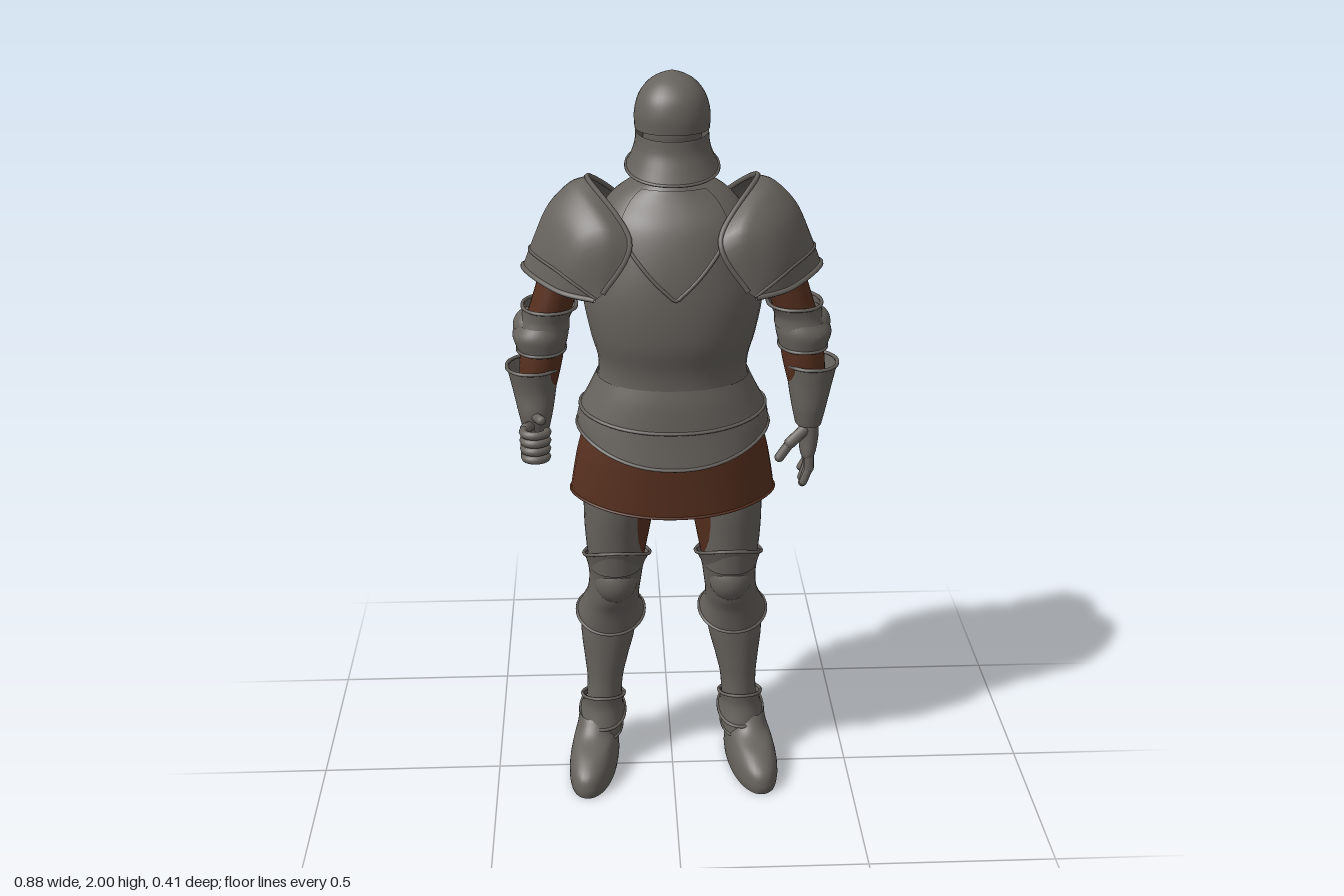
import * as THREE from 'three';

const steel = new THREE.MeshStandardMaterial({ color: 0x66625d, side: THREE.DoubleSide });
steel.name = 'steel';
const leather = new THREE.MeshStandardMaterial({ color: 0x57301f, side: THREE.DoubleSide });
leather.name = 'leather';

const V = (x, y, z) => new THREE.Vector3(x, y, z);

function add(parent, name, geometry, material = steel) {
  const mesh = new THREE.Mesh(geometry, material);
  mesh.name = name;
  parent.add(mesh);
  return mesh;
}

// Smooth surface through fn(u, v); u may wrap round, flip reverses the faces
function surface(fn, nu, nv, wrap = false, flip = false) {
  const pos = [], index = [], cols = wrap ? nu : nu + 1;
  for (let j = 0; j <= nv; j++)
    for (let i = 0; i < cols; i++) pos.push(...fn(i / nu, j / nv).toArray());
  for (let j = 0; j < nv; j++)
    for (let i = 0; i < nu; i++) {
      const a = j * cols + i, b = j * cols + (i + 1) % cols, c = a + cols, d = b + cols;
      index.push(...(flip ? [a, b, c, b, d, c] : [a, c, b, b, c, d]));
    }
  const g = new THREE.BufferGeometry();
  g.setAttribute('position', new THREE.Float32BufferAttribute(pos, 3));
  g.setIndex(index);
  g.computeVertexNormals();
  return g;
}

// Smooth interpolation between rows of numbers
function blend(rows, t) {
  const f = t * (rows.length - 1), i = Math.min(Math.floor(f), rows.length - 2), k = f - i;
  const at = (n) => rows[Math.max(0, Math.min(rows.length - 1, n))];
  return rows[i].map((b, c) => {
    const a = at(i - 1)[c], d = at(i + 1)[c], e = at(i + 2)[c];
    return b + 0.5 * k * (d - a + k * (2 * a - 5 * b + 4 * d - e + k * (3 * (b - d) + e - a)));
  });
}

// Point on a body of sections [y, x, z, radiusX, radiusZ, slope towards +z, drop at front and back]
function bodyPoint(rows, t, angle, s = 1, grow = 0) {
  const [y, cx, cz, rx, rz, slope, arch] = blend(rows, t);
  const sn = Math.sin(angle), cs = Math.cos(angle), e = 0.92;
  const x = Math.sign(sn) * Math.abs(sn) ** e * (rx + grow);
  const z = Math.sign(cs) * Math.abs(cs) ** e * (rz + grow);
  return V(s * cx + x, y + slope * z - arch * cs * cs, cz + z);
}

const fill = (rows) => rows.map((r) => [...r, 0, 0].slice(0, 7));

function tube(parent, name, points, radius, closed = false, material = steel) {
  const curve = new THREE.CatmullRomCurve3(points, closed);
  return add(parent, name, new THREE.TubeGeometry(curve, points.length * 2, radius, 6, closed), material);
}

// Plate lofted through sections, with rolled rims at the listed ends (0 first, 1 last)
function body(parent, name, sections, { s = 1, material = steel, rims = [], rim = 0.005 } = {}) {
  const rows = fill(sections);
  add(parent, name, surface((u, v) => bodyPoint(rows, v, u * Math.PI * 2, s), 40, (rows.length - 1) * 6, true), material);
  for (const t of rims) {
    const ring = Array.from({ length: 28 }, (_, i) => bodyPoint(rows, t, i / 28 * Math.PI * 2, s));
    tube(parent, name + 'Rim', ring, rim, true, material);
  }
}

function ball(parent, name, center, size) {
  const m = add(parent, name, new THREE.SphereGeometry(1, 28, 18));
  m.position.copy(center);
  m.scale.copy(size);
}

function finger(parent, name, a, b, r) {
  const m = add(parent, name, new THREE.CapsuleGeometry(r, a.distanceTo(b), 4, 10));
  m.position.copy(a).add(b).multiplyScalar(0.5);
  m.quaternion.setFromUnitVectors(V(0, 1, 0), b.clone().sub(a).normalize());
}

function buildHelmet(g) {
  body(g, 'helmetDome', [[2.0, 0, -0.027, 0.001, 0.001], [1.988, 0, -0.027, 0.035, 0.04], [1.97, 0, -0.026, 0.062, 0.07],
    [1.94, 0, -0.025, 0.084, 0.094], [1.9, 0, -0.025, 0.095, 0.105], [1.86, 0, -0.025, 0.094, 0.105]]);
  body(g, 'helmetSkirt', [[1.855, 0, -0.025, 0.092, 0.104, -0.1], [1.82, 0, -0.023, 0.095, 0.107, -0.1],
    [1.79, 0, -0.02, 0.105, 0.118, -0.13], [1.765, 0, -0.018, 0.117, 0.13, -0.17]], { rims: [1], rim: 0.004 });
  ball(g, 'head', V(0, 1.85, -0.03), V(0.075, 0.09, 0.075));
}

function buildTorso(g) {
  body(g, 'collar', [[1.8, 0, -0.025, 0.062, 0.075], [1.76, 0, -0.022, 0.072, 0.09], [1.72, 0, -0.02, 0.085, 0.1]]);
  const torso = [[1.74, 0, -0.02, 0.078, 0.095], [1.7, 0, -0.02, 0.145, 0.118], [1.64, 0, -0.015, 0.19, 0.158],
    [1.55, 0, -0.012, 0.212, 0.186], [1.45, 0, -0.003, 0.232, 0.192], [1.35, 0, 0.008, 0.216, 0.18],
    [1.27, 0, 0.01, 0.195, 0.16], [1.21, 0, 0.008, 0.198, 0.158], [1.12, 0, 0, 0.225, 0.17]];
  body(g, 'cuirass', torso);

  // Raised gorget plates: a pointed bib in front, a square one behind
  const rows = fill(torso);
  const tAt = (y) => {
    let lo = 0, hi = 1;
    for (let i = 0; i < 24; i++) {
      const mid = (lo + hi) / 2;
      if (blend(rows, mid)[0] > y) lo = mid; else hi = mid;
    }
    return lo;
  };
  const plate = (name, middle, half, bottom) => {
    const p = (u, v) => {
      const k = u * 2 - 1;
      return bodyPoint(rows, tAt(1.725 + (bottom(Math.abs(k)) - 1.725) * v), middle + k * half, 1, 0.006);
    };
    add(g, name, surface(p, 24, 14));
    tube(g, name + 'Edge', Array.from({ length: 25 }, (_, i) => p(i / 24, 1)), 0.005);
  };
  plate('gorgetFront', 0, 0.75, (k) => 1.475 + 0.165 * k);
  plate('gorgetBack', Math.PI, 0.85, () => 1.63);

  // Waist lames and hanging skirt
  body(g, 'upperFauld', [[1.225, 0, 0.008, 0.199, 0.16], [1.18, 0, 0.006, 0.22, 0.172], [1.135, 0, 0.002, 0.244, 0.184, 0, 0.02]], { rims: [1] });
  body(g, 'lowerFauld', [[1.15, 0, 0.002, 0.236, 0.178], [1.115, 0, 0.003, 0.25, 0.187, 0, 0.03],
    [1.085, 0, 0.005, 0.253, 0.197, 0, 0.065]], { rims: [1] });
  body(g, 'leatherSkirt', [[1.1, 0, 0, 0.225, 0.175], [1.02, 0, -0.004, 0.25, 0.182, 0.03, 0.01],
    [0.95, 0, -0.006, 0.264, 0.184, 0.09, 0.025], [0.885, 0, -0.008, 0.274, 0.186, 0.16, 0.043]], { material: leather, rims: [1], rim: 0.004 });
}

function buildPauldron(g, s) {
  // Arches from front to back: [frontX, frontY, quarterX, quarterY, quarterZ, topX, topY]
  const arches = [[0.18, 1.49, 0.112, 1.615, 0.155, 0.215, 1.738], [0.185, 1.485, 0.17, 1.645, 0.156, 0.26, 1.722],
    [0.19, 1.48, 0.235, 1.625, 0.148, 0.315, 1.665], [0.195, 1.477, 0.275, 1.56, 0.142, 0.352, 1.585],
    [0.2, 1.473, 0.295, 1.483, 0.135, 0.382, 1.508]];
  const point = (u, v) => {
    const [fx, fy, qx, qy, qz, tx, ty] = blend(arches, v);
    const side = [[fx, fy, 0.185], [qx, qy, qz], [tx, ty, 0], [qx, qy, -qz], [fx, fy, -0.185]];
    const [x, y, z] = blend(side, u);
    return V(s * x, y, z - 0.012);
  };
  add(g, 'pauldron', surface(point, 32, 20, false, s < 0));
  for (const v of [0, 0.84, 1])
    tube(g, 'pauldronRim', Array.from({ length: 25 }, (_, i) => point(i / 24, v)), v === 0.84 ? 0.004 : 0.007);
}

function buildArm(g, s) {
  body(g, 'sleeve', [[1.6, 0.245, -0.02, 0.06, 0.08], [1.43, 0.303, -0.022, 0.056, 0.08], [1.34, 0.33, -0.02, 0.056, 0.074],
    [1.25, 0.344, -0.012, 0.056, 0.07], [1.15, 0.358, -0.005, 0.045, 0.055]], { s, material: leather });
  body(g, 'elbowUpper', [[1.4, 0.318, -0.02, 0.07, 0.084], [1.37, 0.328, -0.02, 0.063, 0.08], [1.34, 0.335, -0.018, 0.068, 0.083]], { s, rims: [0] });
  body(g, 'elbowLower', [[1.355, 0.335, -0.018, 0.064, 0.08], [1.325, 0.343, -0.016, 0.073, 0.088], [1.285, 0.342, -0.014, 0.062, 0.08]], { s, rims: [1] });
  ball(g, 'elbowCap', V(s * 0.365, 1.342, -0.03), V(0.05, 0.045, 0.065));
  const wristZ = s < 0 ? 0.015 : 0.004;
  body(g, 'gauntletCuff', [[1.237, 0.366, -0.008, 0.068, 0.077], [1.18, 0.363, -0.004, 0.058, 0.068],
    [1.12, 0.361, wristZ, 0.046, 0.058], [1.07, 0.361, wristZ, 0.035, 0.05]], { s, rims: [0] });
}

function buildHands(g) {
  // Open left hand
  const open = new THREE.Group();
  open.name = 'openHand';
  g.add(open);
  body(open, 'palm', [[1.09, 0.361, 0, 0.026, 0.04], [1.03, 0.364, -0.002, 0.026, 0.047], [0.975, 0.362, -0.003, 0.018, 0.045],
    [0.965, 0.362, -0.003, 0.001, 0.001]]);
  for (let i = 0; i < 4; i++) {
    const z = 0.032 - i * 0.023, tip = [0.905, 0.892, 0.898, 0.918][i];
    finger(open, 'finger', V(0.364, 0.985, z), V(0.365, 0.945, z), 0.0125);
    finger(open, 'fingertip', V(0.365, 0.945, z), V(0.35, tip, z), 0.011);
  }
  finger(open, 'thumb', V(0.348, 1.055, 0.03), V(0.31, 1.025, 0.045), 0.016);
  finger(open, 'thumbTip', V(0.31, 1.025, 0.045), V(0.282, 0.985, 0.048), 0.013);

  // Gripping right hand, reaching forward with stacked curled fingers
  const grip = new THREE.Group();
  grip.name = 'grippingHand';
  g.add(grip);
  ball(grip, 'wrist', V(-0.362, 1.085, 0.02), V(0.034, 0.045, 0.045));
  for (let i = 0; i < 4; i++) {
    const y = 1.102 - i * 0.023;
    finger(grip, 'palm', V(-0.368, 1.085 - i * 0.012, 0.035), V(-0.386, y, 0.1), 0.0145);
    const curl = add(grip, 'curledFinger', new THREE.TorusGeometry(0.031 - i * 0.001, 0.0115, 8, 18, 3.9));
    curl.rotation.x = Math.PI / 2;
    curl.position.set(-0.36, y, 0.121);
  }
  finger(grip, 'thumb', V(-0.368, 1.115, 0.045), V(-0.345, 1.122, 0.095), 0.013);
}

function buildLeg(g, s) {
  body(g, 'leatherThigh', [[0.96, 0.13, -0.01, 0.09, 0.115], [0.85, 0.136, -0.01, 0.088, 0.112], [0.75, 0.142, -0.01, 0.077, 0.1],
    [0.62, 0.15, -0.015, 0.06, 0.08]], { s, material: leather });
  body(g, 'thighPlate', [[0.96, 0.15, -0.003, 0.09, 0.125], [0.85, 0.154, -0.003, 0.087, 0.122], [0.76, 0.157, -0.003, 0.082, 0.112],
    [0.66, 0.156, 0, 0.074, 0.098]], { s });
  body(g, 'kneePlate', [[0.69, 0.153, 0.004, 0.09, 0.106, 0.3, -0.015], [0.655, 0.156, -0.004, 0.077, 0.094, 0.2],
    [0.61, 0.158, -0.014, 0.072, 0.088, 0.1], [0.56, 0.164, -0.028, 0.072, 0.09], [0.52, 0.17, -0.048, 0.079, 0.09, -0.1],
    [0.478, 0.172, -0.066, 0.094, 0.093, -0.25, 0.012]], { s, rims: [0, 1] });
  ball(g, 'kneeCap', V(s * 0.157, 0.62, 0.032), V(0.059, 0.066, 0.057));
  body(g, 'greave', [[0.5, 0.174, -0.075, 0.072, 0.08], [0.41, 0.18, -0.084, 0.076, 0.087], [0.32, 0.187, -0.08, 0.061, 0.079],
    [0.24, 0.192, -0.073, 0.05, 0.07], [0.1, 0.198, -0.07, 0.052, 0.075]], { s });
  body(g, 'ankleCuff', [[0.2, 0.197, -0.066, 0.06, 0.073, 0.3], [0.175, 0.198, -0.068, 0.057, 0.073, 0.1],
    [0.145, 0.2, -0.07, 0.064, 0.09, -0.2]], { s, rims: [0, 1] });
  body(g, 'ankleLame', [[0.15, 0.2, -0.07, 0.056, 0.08, -0.1], [0.1, 0.204, -0.068, 0.06, 0.088, -0.12]], { s, rims: [1], rim: 0.004 });

  // Boot, toes turned slightly out
  const boot = new THREE.Group();
  boot.name = 'boot';
  boot.position.x = s * 0.225;
  boot.rotation.y = s * 0.14;
  g.add(boot);
  body(boot, 'bootUpper', [[0.15, 0, -0.07, 0.05, 0.075], [0.115, 0, -0.058, 0.054, 0.1], [0.09, 0, -0.026, 0.06, 0.14],
    [0.06, 0, -0.004, 0.065, 0.167], [0.025, 0, 0.002, 0.067, 0.175], [0, 0, 0.001, 0.064, 0.172]]);
  body(boot, 'bootSole', [[0.001, 0, 0.001, 0.064, 0.172], [0, 0, 0.001, 0.001, 0.001]]);
}

export function createModel() {
  const model = new THREE.Group();
  model.name = 'armouredFigure';
  const part = (name) => {
    const g = new THREE.Group();
    g.name = name;
    model.add(g);
    return g;
  };
  buildHelmet(part('helmet'));
  buildTorso(part('torso'));
  for (const s of [1, -1]) {
    const side = s > 0 ? 'left' : 'right';
    buildPauldron(part(side + 'Shoulder'), s);
    buildArm(part(side + 'Arm'), s);
    buildLeg(part(side + 'Leg'), s);
  }
  buildHands(part('hands'));
  return model;
}
